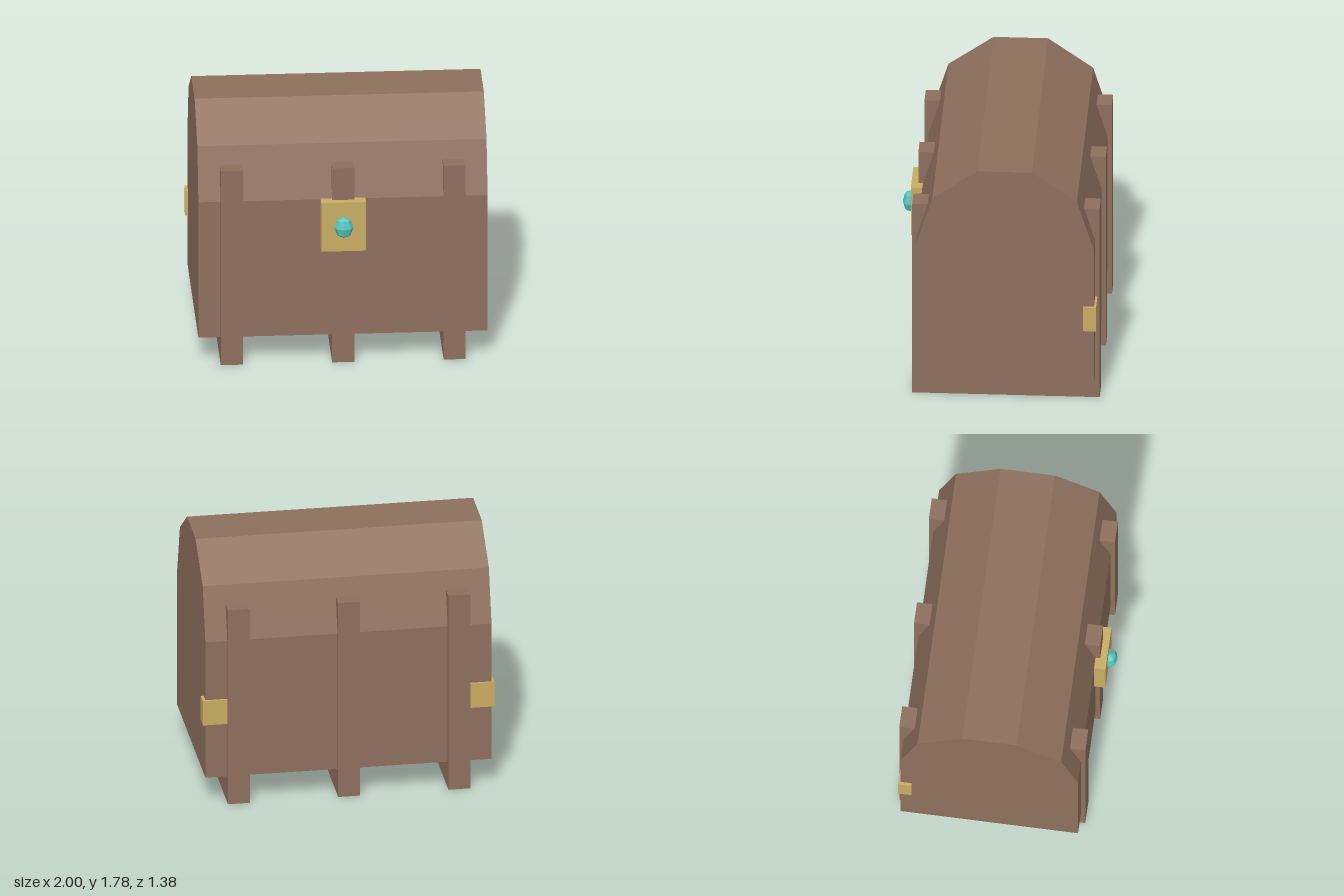
import * as THREE from 'three';

const material = (name, color) => {
  const m = new THREE.MeshStandardMaterial({ color });
  m.name = name;
  return m;
};

// Extrudes a [z, y] outline along x, centred on the given x.
function extrudeAlongX(points, width, x) {
  const shape = new THREE.Shape(points.map(([z, y]) => new THREE.Vector2(-z, y)));
  const geo = new THREE.ExtrudeGeometry(shape, { depth: width, bevelEnabled: false });
  geo.rotateY(Math.PI / 2);
  geo.translate(x - width / 2, 0, 0);
  return geo;
}

// Box given by its minimum and maximum corners.
function boxBetween(a, b) {
  const geo = new THREE.BoxGeometry(b[0] - a[0], b[1] - a[1], b[2] - a[2]);
  geo.translate((a[0] + b[0]) / 2, (a[1] + b[1]) / 2, (a[2] + b[2]) / 2);
  return geo;
}

export function createModel() {
  const group = new THREE.Group();
  group.name = 'chest';
  const wood = material('wood brown', 0x8e705d);
  const gold = material('gold', 0xc9ad62);
  const teal = material('teal gem', 0x52c8bf);

  const add = (name, geo, mat) => {
    const mesh = new THREE.Mesh(geo, mat);
    mesh.name = name;
    group.add(mesh);
    return mesh;
  };

  // Chest body with faceted barrel lid
  const bodyProfile = [
    [0.55, 0.195], [0.55, 1.2], [0.435, 1.565], [0.13, 1.78],
    [-0.24, 1.78], [-0.545, 1.565], [-0.66, 1.2], [-0.66, 0.195],
  ];
  add('chestBody', extrudeAlongX(bodyProfile, 1.96, 0), wood);

  // U-shaped straps: front post, floor runner and back post
  const strapProfile = [
    [0.58, 0], [0.58, 1.44], [0.475, 1.44], [0.475, 0.21],
    [-0.585, 0.21], [-0.585, 1.44], [-0.69, 1.44], [-0.69, 0],
  ];
  for (const [name, x] of [['rightStrap', -0.755], ['middleStrap', 0], ['leftStrap', 0.755]]) {
    add(name, extrudeAlongX(strapProfile, 0.15, x), wood);
  }

  // Lock plate
  add('lockPlate', boxBetween([-0.152, 0.845, 0.53], [0.152, 1.205, 0.627]), gold);

  // Faceted gem on the lock
  const gemMat = teal;
  gemMat.flatShading = true;
  const gem = add('lockGem', new THREE.SphereGeometry(1, 8, 4), gemMat);
  gem.scale.set(0.066, 0.077, 0.05);
  gem.position.set(0, 1.027, 0.64);

  // Hinge brackets wrapping the back corners
  add('leftHinge', boxBetween([0.8, 0.59, -0.675], [1, 0.77, -0.585]), gold);
  add('rightHinge', boxBetween([-1, 0.59, -0.675], [-0.8, 0.77, -0.585]), gold);

  return group;
}
